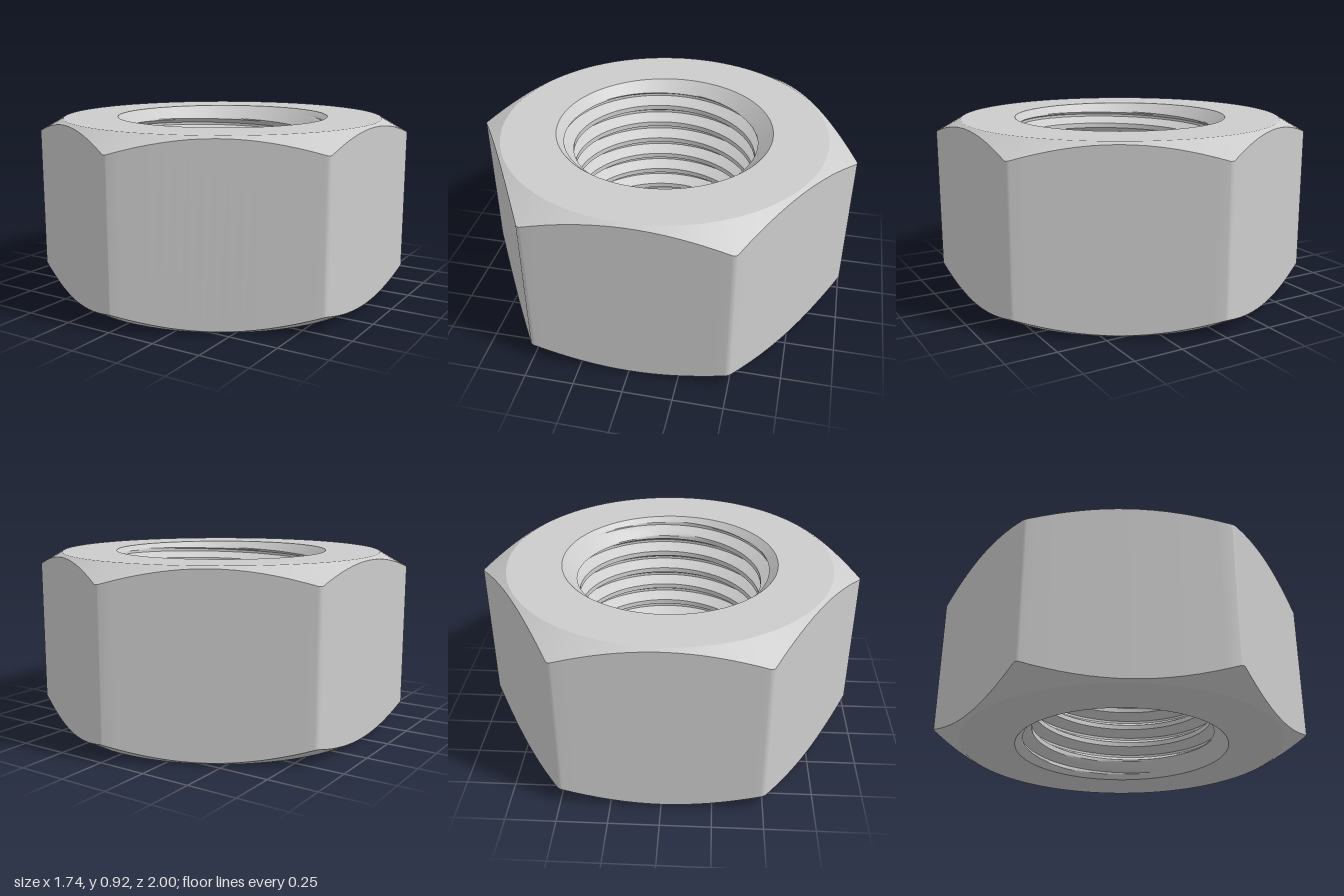
import * as THREE from 'three';
import { toCreasedNormals } from 'three/addons/utils/BufferGeometryUtils.js';

const H = 0.92;           // height
const APOTHEM = 0.87;     // centre to flat
const CORNER = 0.03;      // rounding of the vertical edges
const FACE_R = 0.85;      // flat end face, outer radius
const BORE_R = 0.565;     // mouth of the bore
const MINOR = 0.48, MAJOR = 0.539, PITCH = 0.109, START = 0.052;

// Rounded hexagon as { t: angle, r: radius }, counter-clockwise from above
function hexOutline() {
  const points = [];
  const half = (APOTHEM - CORNER) * Math.tan(Math.PI / 6);
  for (let k = 0; k <= 6; k++) {
    const add = (x, y) => points.push({ t: k * Math.PI / 3 + Math.atan2(y, x), r: Math.hypot(x, y) });
    if (k === 6) { add(APOTHEM, -half); break; }
    for (let i = 0; i <= 16; i++) add(APOTHEM, half * (i / 8 - 1));
    for (let i = 1; i < 6; i++) {
      const a = i * Math.PI / 18;
      add(APOTHEM - CORNER + CORNER * Math.cos(a), half + CORNER * Math.sin(a));
    }
  }
  return points;
}

// Sweep a profile [[radius, y], ...] that may change from angle to angle
function sweep(outline, profileAt) {
  const position = [], index = [];
  const columns = outline.map(profileAt);
  const n = columns[0].length;
  columns.forEach((column, i) => column.forEach(([r, y], j) => {
    const t = outline[i].t;
    position.push(r * Math.cos(t), y, -r * Math.sin(t));
    if (i === columns.length - 1 || j === n - 1) return;
    const a = i * n + j, b = a + n;
    const right = columns[i + 1];
    // Skip triangles collapsed onto the rim
    if (column[j][1] === column[j + 1][1] && column[j][0] === column[j + 1][0]
      && right[j][1] === right[j + 1][1] && right[j][0] === right[j + 1][0]) return;
    index.push(a, b, b + 1, a, b + 1, a + 1);
  }));
  const geometry = new THREE.BufferGeometry();
  geometry.setAttribute('position', new THREE.Float32BufferAttribute(position, 3));
  geometry.setIndex(index);
  return toCreasedNormals(geometry, 0.3);
}

// End faces, conical chamfers and six flats
function bodyProfile({ r }) {
  const drop = (r - FACE_R) * Math.tan(Math.PI / 6);
  return [[BORE_R, 0], [FACE_R, 0], [r, drop], [r, H - drop], [FACE_R, H], [BORE_R, H]];
}

// One thread pitch: [fraction of pitch, radius], crest, flank, root, flank
const THREAD = [[0, MINOR], [0.25, MINOR], [0.5625, MAJOR], [0.6875, MAJOR], [1, MINOR]];
const STEPS = [3, 5, 2, 5];

function threadRadius(u) {
  const f = u - Math.floor(u);
  const s = Math.max(1, THREAD.findIndex(([v]) => v >= f));
  const [u0, r0] = THREAD[s - 1], [u1, r1] = THREAD[s];
  return r0 + (r1 - r0) * (f - u0) / (u1 - u0);
}

// Rows follow the helix, are cut at both ends and widened by the countersinks
function boreProfile({ t }) {
  const turn = t / (2 * Math.PI);
  const column = [];
  for (let k = -2; k < 10; k++) {
    STEPS.forEach((steps, s) => {
      for (let i = 0; i < steps; i++) {
        const u = k + THREAD[s][0] + (THREAD[s + 1][0] - THREAD[s][0]) * i / steps;
        const y = THREE.MathUtils.clamp(START + PITCH * (u + turn), 0, H);
        const countersink = BORE_R - Math.min(y, H - y);
        const thread = threadRadius((y - START) / PITCH - turn);
        column.push([Math.max(thread, countersink), y]);
      }
    });
  }
  return column.reverse();
}

export function createModel() {
  const group = new THREE.Group();
  group.name = 'hexNut';
  const material = new THREE.MeshStandardMaterial({ color: 0xcccccc });
  const outline = hexOutline();

  const body = new THREE.Mesh(sweep(outline, bodyProfile), material);
  body.name = 'hexBody';
  const bore = new THREE.Mesh(sweep(outline, boreProfile), material);
  bore.name = 'threadedBore';

  group.add(body, bore);
  return group;
}
